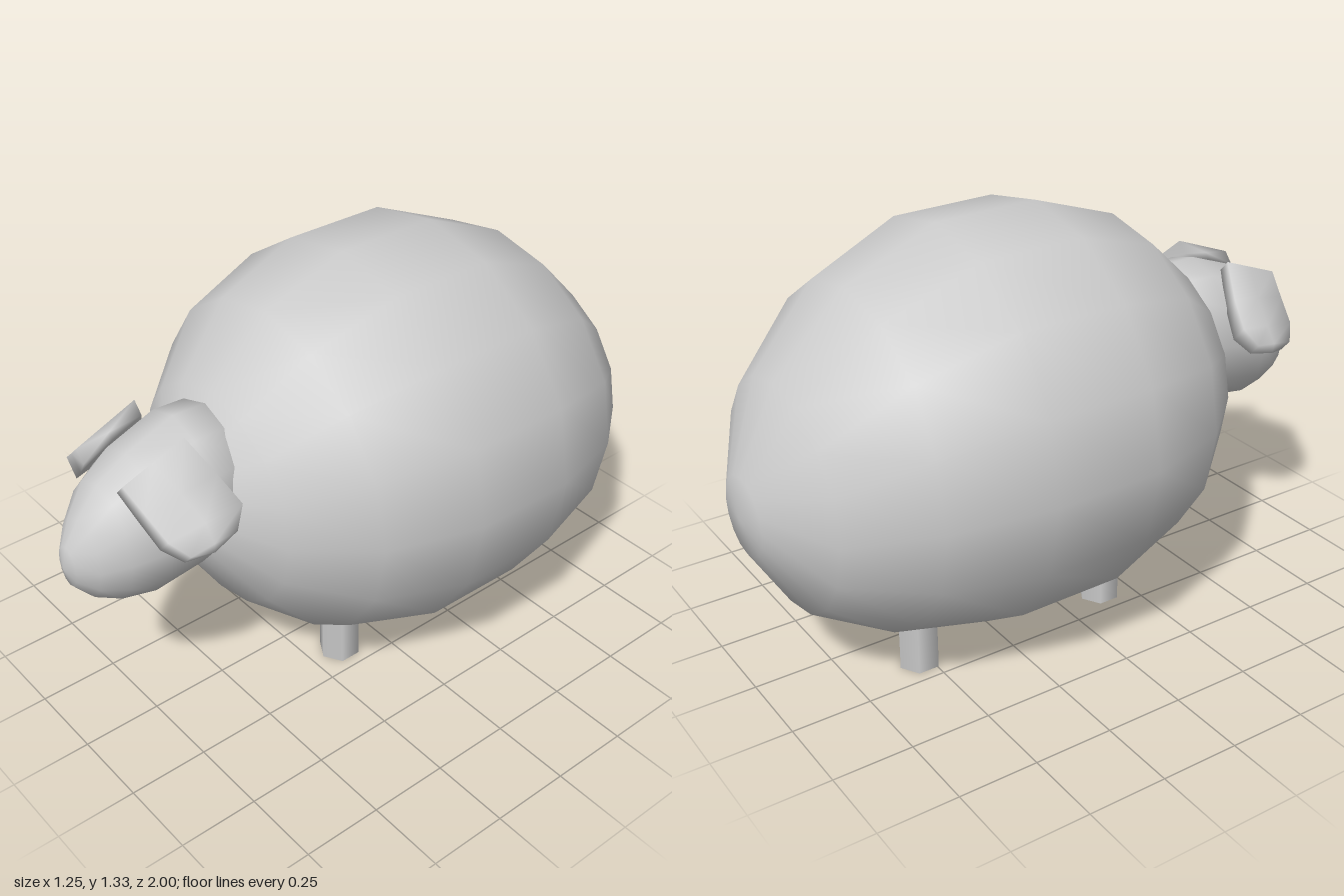
import * as THREE from 'three';

const material = new THREE.MeshStandardMaterial({ color: 0xcccccc });

// Smooth closed skin over rings of equal point count; both ends close to a point
function loft(rings, startTip, endTip) {
  const n = rings[0].length;
  const pts = [...rings.flat(), startTip, endTip];
  const index = [];
  const start = rings.length * n, end = start + 1, last = start - n;
  for (let j = 0; j < n; j++) {
    const k = (j + 1) % n;
    for (let i = 0; i < rings.length - 1; i++) {
      const a = i * n + j, b = i * n + k;
      index.push(a, b, b + n, a, b + n, a + n);
    }
    index.push(start, k, j, end, last + j, last + k);
  }
  const g = new THREE.BufferGeometry();
  g.setAttribute('position', new THREE.Float32BufferAttribute(pts.flat(), 3));
  g.setIndex(index);
  g.computeVertexNormals();
  return g;
}

// Elliptical ring in a plane of constant z, with a corner at the top
function ellipse(z, cy, rx, ry, n) {
  return Array.from({ length: n }, (_, i) => {
    const a = (i / n) * Math.PI * 2;
    return [rx * Math.cos(a), cy + ry * Math.sin(a), z];
  });
}

function add(group, name, geometry) {
  const mesh = new THREE.Mesh(geometry, material);
  mesh.name = name;
  group.add(mesh);
  return mesh;
}

// Floppy ear: [front edge, back edge, half thickness] from root to tip
function earGeometry(side) {
  const sections = [
    [[0.10, 0.94, 0.855], [0.105, 1.015, 0.655], 0.024],
    [[0.165, 0.875, 0.835], [0.19, 0.92, 0.615], 0.03],
    [[0.235, 0.81, 0.815], [0.265, 0.85, 0.59], 0.034],
    [[0.285, 0.775, 0.775], [0.298, 0.80, 0.63], 0.026],
  ];
  const at = (f, b, t, h) => [
    side * (f[0] + (b[0] - f[0]) * t + 0.66 * h),
    f[1] + (b[1] - f[1]) * t + 0.75 * h,
    f[2] + (b[2] - f[2]) * t,
  ];
  const rings = sections.map(([f, b, h]) => {
    const ring = [at(f, b, 0, -h), at(f, b, 0.5, -h), at(f, b, 1, -h),
      at(f, b, 1, h), at(f, b, 0.5, h), at(f, b, 0, h)];
    return side > 0 ? ring : ring.reverse();
  });
  const [f0, b0] = sections[0];
  return loft(rings, at(f0, b0, 0.5, 0), [side * 0.305, 0.775, 0.70]);
}

export function createModel() {
  const group = new THREE.Group();

  // Round body with a drooping rump: z, centre height, radius
  const body = [
    [-0.985, 0.58, 0.122], [-0.865, 0.608, 0.353], [-0.635, 0.66, 0.53],
    [-0.34, 0.695, 0.625], [0, 0.70, 0.625], [0.285, 0.70, 0.53],
    [0.485, 0.695, 0.35], [0.625, 0.69, 0.122],
  ].map(([z, y, r]) => ellipse(z, y, r, r, 16));
  add(group, 'body', loft(body, [0, 0.575, -1], [0, 0.69, 0.645]));

  // Egg-shaped head tapering to the muzzle: z, centre height, half width, half height
  const head = [
    [0.44, 0.80, 0.19, 0.215], [0.61, 0.78, 0.205, 0.243], [0.77, 0.74, 0.196, 0.225],
    [0.87, 0.718, 0.155, 0.188], [0.94, 0.692, 0.10, 0.128], [0.985, 0.684, 0.045, 0.066],
  ].map(([z, y, rx, ry]) => ellipse(z, y, rx, ry, 12));
  add(group, 'head', loft(head, [0, 0.80, 0.42], [0, 0.682, 1]));

  // Ears and six-sided legs, mirrored
  for (const side of [1, -1]) {
    const label = side > 0 ? 'left' : 'right';
    add(group, label + 'Ear', earGeometry(side));
    for (const [end, z] of [['Front', 0.145], ['Back', -0.53]]) {
      const leg = add(group, label + end + 'Leg', new THREE.CylinderGeometry(0.066, 0.066, 0.24, 6));
      leg.position.set(side * 0.157, 0.12, z);
    }
  }
  return group;
}
